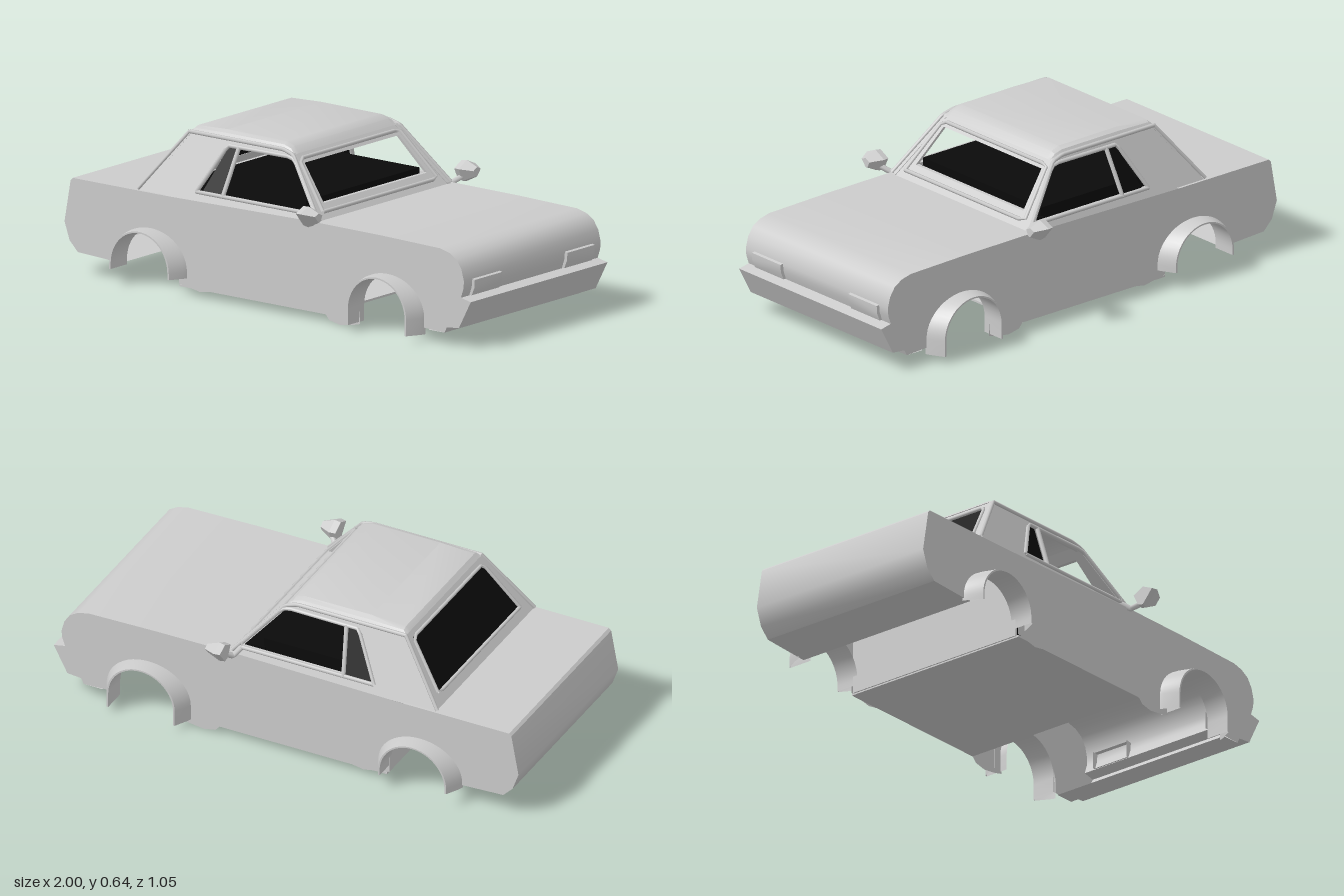
import * as THREE from 'three';
import { toCreasedNormals } from 'three/addons/utils/BufferGeometryUtils.js';

const grey = new THREE.MeshStandardMaterial({ color: 0xcccccc, side: THREE.DoubleSide });
const black = new THREE.MeshStandardMaterial({ color: 0x0a0a0a, side: THREE.DoubleSide });
const HALF = 0.41; // half width of the lower body
const ARCHES = [-0.572, 0.583], ARCH_R = 0.14, ARCH_Y = 0.093;

const v2 = pts => pts.map(([a, b]) => new THREE.Vector2(a, b));
const V = (x, y, z) => new THREE.Vector3(x, y, z);

// Skin a list of equally long cross-sections
function loft(sections, crease = 0.6) {
  const n = sections[0].length, index = [];
  for (let i = 0; i < sections.length - 1; i++)
    for (let j = 0; j < n - 1; j++) {
      const a = i * n + j, b = a + n;
      index.push(a, a + 1, b, b, a + 1, b + 1);
    }
  const g = new THREE.BufferGeometry();
  g.setAttribute('position', new THREE.Float32BufferAttribute(sections.flat(2), 3));
  g.setIndex(index);
  return toCreasedNormals(g, crease);
}

// Flat outline with optional hole, thickened and laid onto a sloping plane
function panel(outline, hole, depth, map) {
  const shape = new THREE.Shape(v2(outline));
  if (hole) shape.holes.push(new THREE.Path(v2(hole)));
  const g = new THREE.ExtrudeGeometry(shape, { depth, bevelEnabled: false });
  const p = g.attributes.position;
  for (let i = 0; i < p.count; i++) p.setXYZ(i, ...map(p.getX(i), p.getY(i), p.getZ(i)));
  g.computeVertexNormals();
  return g;
}

// Thin trim following straight segments
function trim(points, radius, closed = false) {
  const path = new THREE.CurvePath();
  const all = closed ? [...points, points[0]] : points;
  for (let i = 0; i < all.length - 1; i++) path.add(new THREE.LineCurve3(all[i], all[i + 1]));
  return new THREE.TubeGeometry(path, 48, radius, 6, false);
}

// Sloping planes of the cabin
const sideZ = y => 0.4 - (y - 0.375) * 0.38;
const frontX = y => 0.235 - (y - 0.385) * 0.87;
const rearX = y => -0.635 + (y - 0.375) * 0.72;
const mirrorZ = pts => [...pts, ...pts.map(([z, y]) => [-z, y]).reverse()];

export function createModel() {
  const model = new THREE.Group();
  const car = new THREE.Group();
  car.name = 'carBody';
  model.add(car);
  const add = (name, geometry, material = grey) => {
    const m = new THREE.Mesh(geometry, material);
    m.name = name;
    car.add(m);
    return m;
  };

  // Nose and tail profiles, carried across the width
  const nose = [[0.2, 0.385], [0.55, 0.383], [0.84, 0.377], [0.885, 0.366], [0.92, 0.345], [0.943, 0.31],
    [0.955, 0.265], [0.952, 0.235], [0.94, 0.2], [0.988, 0.19], [0.93, 0.08], [0.872, 0.075], [0.86, 0.052], [0.78, 0.052]];
  const tail = [[-0.5, 0.375], [-0.95, 0.375], [-0.96, 0.365], [-0.99, 0.2], [-0.965, 0.13], [-0.925, 0.09], [-0.715, 0.08]];
  const across = (pts, h) => pts.map(([x, y]) => [[x, y, h], [x, y, -h]]);
  add('hoodAndNose', loft(across(nose, HALF)));
  add('trunkAndTail', loft(across(tail, HALF)));

  // Body side outline with both wheel arches cut from the lower edge
  const side = new THREE.Shape(v2([...tail.slice(0, -1).reverse(), ...nose.slice(0, -1)].reverse()).reverse());
  side.lineTo(0.723, 0.058);
  side.lineTo(0.723, ARCH_Y);
  side.absarc(ARCHES[1], ARCH_Y, ARCH_R, 0, Math.PI, false);
  for (const [x, y] of [[0.45, 0.022], [0.41, 0.012], [0.35, 0.004], [0.3, 0.014], [0.28, 0.036], [-0.27, 0.036],
    [-0.33, 0.026], [-0.432, 0.045]]) side.lineTo(x, y);
  side.lineTo(ARCHES[0] + ARCH_R, ARCH_Y);
  side.absarc(ARCHES[0], ARCH_Y, ARCH_R, 0, Math.PI, false);
  side.lineTo(-0.715, 0.08);

  // Floor pan, firewall and the dark cabin interior
  const box = (name, [x0, x1], [y0, y1], w, material) =>
    add(name, new THREE.BoxGeometry(x1 - x0, y1 - y0, w), material).position.set((x0 + x1) / 2, (y0 + y1) / 2, 0);
  box('floorPan', [-0.43, 0.28], [0.034, 0.042], HALF * 2);
  box('rearBulkhead', [-0.435, -0.425], [0.04, 0.37], HALF * 2 - 0.02);
  box('interior', [-0.42, 0.13], [0.36, 0.44], 0.68, black);
  box('parcelShelf', [-0.58, -0.42], [0.37, 0.385], 0.72, black);
  box('dashboard', [0.12, 0.215], [0.36, 0.405], 0.7, black);

  const sideOutline = [[-0.635, 0.37], [0.245, 0.37], [0.235, 0.39], [0.045, 0.605], [0, 0.615], [-0.46, 0.615]];
  const sideWindow = [[-0.365, 0.408], [0.205, 0.408], [0.2, 0.425], [0.06, 0.585], [0.03, 0.592], [-0.265, 0.59]];
  const quarter = [[-0.345, 0.408], [-0.235, 0.408], [-0.215, 0.59], [-0.265, 0.59]];

  for (const s of [1, -1]) {
    const tag = s > 0 ? 'left' : 'right';
    const onSide = (x, y, w) => [x, y, s * (sideZ(y) - w)];
    const sidePoint = ([x, y]) => V(x, y, s * (sideZ(y) + 0.003));
    add(tag + 'BodySide', new THREE.ShapeGeometry(side, 24).translate(0, 0, s * HALF));

    // Flared wheel arch lips, wider at the base
    ARCHES.forEach((cx, k) => {
      const rows = [[0.18, 0.145, 0.405], [0.173, 0.146, 0.425], [0.145, 0.143, 0.478], [0.138, 0.137, 0.478], [0.138, 0.137, 0.38]];
      const foot = k ? 0.03 : 0.07;
      const ring = (rx, ry, z) => {
        const pts = [[cx + rx, foot, s * z]];
        for (let i = 0; i <= 24; i++) {
          const a = Math.PI * i / 24;
          pts.push([cx + rx * Math.cos(a), ARCH_Y + ry * Math.sin(a), s * z]);
        }
        return [...pts, [cx - rx, foot, s * z]];
      };
      add(tag + (k ? 'Front' : 'Rear') + 'ArchFlare', loft(rows.map(r => ring(...r)), 0.5));
    });

    // Cabin side with window opening, dark quarter glass and divider
    add(tag + 'CabinSide', panel(sideOutline, sideWindow, 0.02, onSide));
    add(tag + 'QuarterGlass', panel(quarter, null, 0.004, (x, y, w) => onSide(x, y, w + 0.01)), black);
    add(tag + 'WindowDivider', trim([[-0.235, 0.405], [-0.212, 0.592]].map(sidePoint), 0.009));
    add(tag + 'WindowTrim', trim(sideWindow.map(sidePoint), 0.008, true));
    add(tag + 'RearPillarTrim', trim([[-0.64, 0.38], [-0.46, 0.615]].map(sidePoint), 0.007));
    add(tag + 'RoofRail', trim([[-0.46, 0.614], [0, 0.614], [0.05, 0.6], [0.235, 0.39]].map(sidePoint), 0.008));

    // Door mirror: faceted head on a short stalk
    const head = [[0.425, 0.435], [0.45, 0.385], [0.475, 0.38], [0.525, 0.44], [0.475, 0.462]];
    const closed = [...head, head[0]];
    const slice = (x, k) => closed.map(([z, y]) => [x, 0.425 + (y - 0.425) * k, s * (0.475 + (z - 0.475) * k)]);
    add(tag + 'MirrorHead', loft([slice(0.225, 0), slice(0.225, 0.9), slice(0.25, 1), slice(0.3, 0.45), slice(0.3, 0)], 0.2));
    add(tag + 'MirrorStalk', trim([V(0.2, 0.405, s * 0.385), V(0.22, 0.38, s * 0.42), V(0.25, 0.405, s * 0.455)], 0.012));

    // Headlamp cover, slightly proud of the nose
    const z0 = s * 0.195, z1 = s * 0.36;
    add(tag + 'Headlamp', loft([[0.935, 0.202], [0.952, 0.202], [0.966, 0.235], [0.967, 0.264], [0.94, 0.27]]
      .map(([x, y]) => [[0.93, y, z0], [x, y, z0], [x, y, z1], [0.93, y, z1]]), 0.4));
  }

  // Windscreen frame (open) and rear window (dark glass)
  const onFront = (z, y, w) => [frontX(y) - w, y, z];
  const onRear = (z, y, w) => [rearX(y) + w, y, z];
  const screenHole = mirrorZ([[0.31, 0.435], [0.282, 0.568]]);
  const rearHole = mirrorZ([[0.335, 0.41], [0.285, 0.595]]);
  add('windscreenFrame', panel(mirrorZ([[0.395, 0.383], [0.312, 0.603]]), screenHole, 0.015, onFront));
  add('windscreenTrim', trim(mirrorZ([[0.345, 0.41], [0.3, 0.585]]).map(([z, y]) => V(frontX(y) + 0.002, y, z)), 0.008, true));
  add('rearWindowFrame', panel(mirrorZ([[0.398, 0.375], [0.31, 0.617]]), rearHole, 0.015, onRear));
  add('rearWindow', panel(rearHole, null, 0.004, (z, y, w) => onRear(z, y, w + 0.008)), black);
  add('rearWindowTrim', trim(rearHole.map(([z, y]) => V(rearX(y) - 0.001, y, z)), 0.007, true));

  // Roof skin with bevelled edges, dropping to the windscreen
  const roofRow = (x, edge, top) => {
    const half = [[0.31, edge], [0.3, edge + (top - edge) * 0.65], [0.28, top]];
    return mirrorZ(half).map(([z, y]) => [x, y, z]);
  };
  add('roof', loft([roofRow(-0.463, 0.612, 0.618), roofRow(-0.445, 0.614, 0.634), roofRow(-0.3, 0.614, 0.64),
    roofRow(-0.01, 0.614, 0.638), roofRow(0.025, 0.608, 0.625), roofRow(0.05, 0.598, 0.602)], 0.4));

  // The body sits at a slight yaw
  car.rotation.y = -0.028;
  car.position.z = -0.012;
  return model;
}
